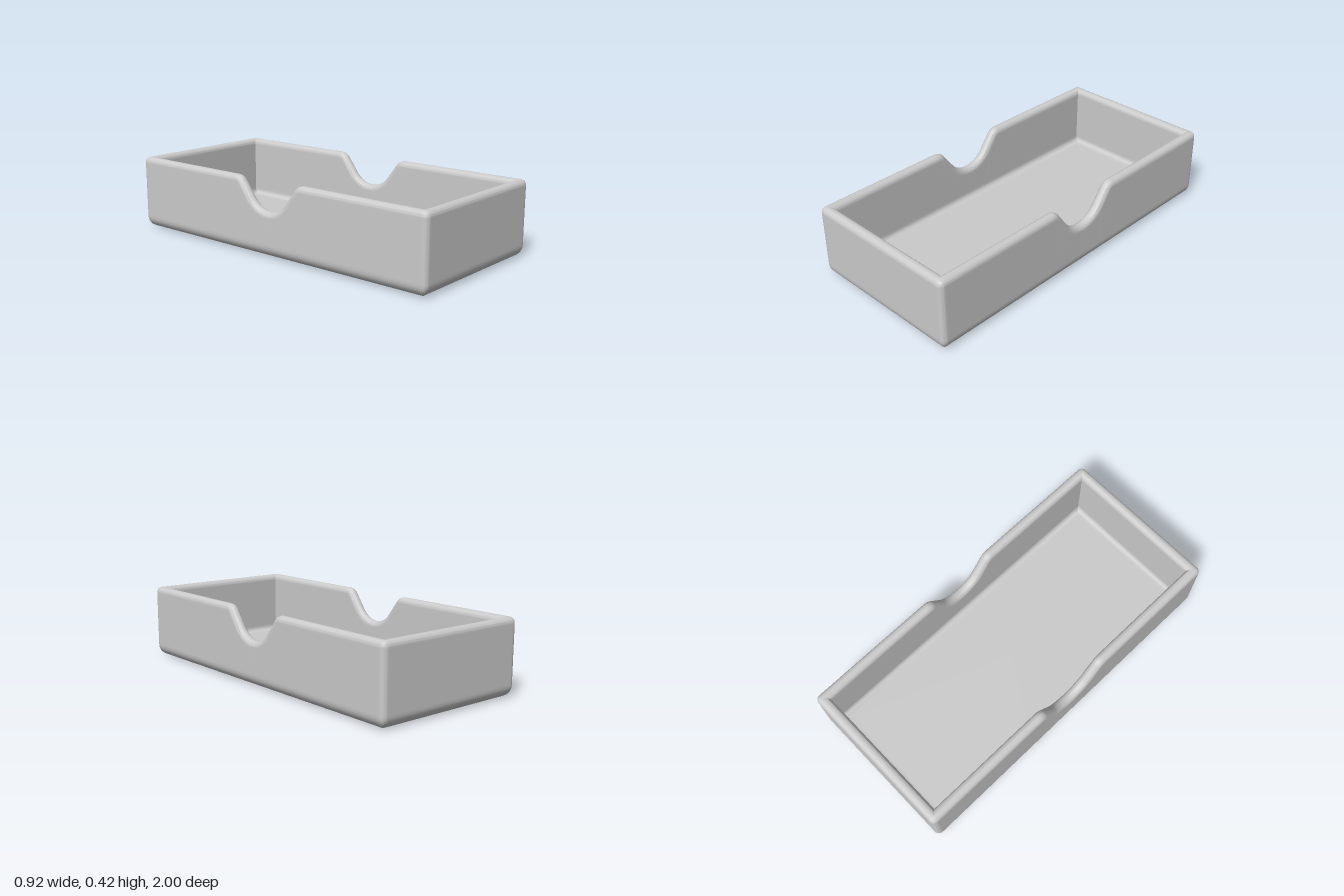
import * as THREE from 'three';
import { toCreasedNormals } from 'three/addons/utils/BufferGeometryUtils.js';

const HX = 0.46, HZ = 1, H = 0.418;     // half width, half length, height
const R = 0.03;                          // rim and upright edge radius (wall is 2R thick)
const BASE_R = 0.065, FLOOR = 0.06, FILLET = 0.03;
const clamp = THREE.MathUtils.clamp;

// Half of the thumb notch: rim points with their normals, from z = 0 outwards
function notchHalf() {
  const pts = [], steep = 0.927, n = 10;
  const add = (cz, cy, r, a) => pts.push({
    z: cz + r * Math.sin(a), y: cy - r * Math.cos(a), nz: -Math.sin(a), ny: Math.cos(a),
  });
  for (let i = 0; i <= n; i++) add(0, H - 0.02, 0.15, steep * i / n);
  for (let i = n; i >= 0; i--) add(0.235, H - 0.065, -0.065, steep * i / n);
  pts.push({ z: 0.245, y: H, nz: 0, ny: 1 });
  return pts;
}

// Stations around the outline, each with an outward direction and a rim point
function outline() {
  const list = [], half = notchHalf();
  const notch = [...half.slice(1).reverse().map(p => ({ ...p, z: -p.z, nz: -p.nz })), ...half];
  const signs = [[1, 1], [-1, 1], [-1, -1], [1, -1]];
  signs.forEach(([sx, sz], k) => {
    const cx = sx * (HX - R), cz = sz * (HZ - R);
    const flat = (x, z, a) => list.push({ x, z, dx: Math.cos(a), dz: Math.sin(a), y: H, nz: 0, ny: 1 });
    for (let i = 0; i <= 8; i++) flat(cx, cz, (k + i / 8) * Math.PI / 2);
    const end = (k + 1) * Math.PI / 2;
    if (k % 2 === 0) {                   // plain short walls
      for (const s of [1, -1]) flat(s * sx * (HX - R - 0.01), cz, end);
    } else {                             // long walls with the notch
      flat(cx, sz * (HZ - R - 0.01), end);
      const run = sz < 0 ? notch : [...notch].reverse();
      for (const p of run) list.push({ ...p, x: cx, dx: sx, dz: 0 });
      flat(cx, -sz * (HZ - R - 0.01), end);
    }
  });
  return list;
}

// Wall section from the underside, over the rim, down to the inner floor:
// d is the inset, y a fixed height, lift a distance from the rim's centre line
function section() {
  const rows = [{ d: BASE_R + 0.01, y: 0 }];
  for (let i = 0; i <= 8; i++) {
    const a = i / 8 * Math.PI / 2;
    rows.push({ d: BASE_R * (1 - Math.sin(a)), y: BASE_R * (1 - Math.cos(a)) });
  }
  rows.push({ d: 0, y: BASE_R + 0.01 }, { d: 0, lift: -0.008 });
  for (let i = 0; i <= 16; i++) {
    const a = i / 16 * Math.PI;
    rows.push({ d: R * (1 - Math.cos(a)), lift: R * Math.sin(a) });
  }
  rows.push({ d: 2 * R, lift: -0.008 }, { d: 2 * R, y: FLOOR + FILLET + 0.01 });
  for (let i = 0; i <= 6; i++) {
    const a = i / 6 * Math.PI / 2;
    rows.push({ d: 2 * R + FILLET * (1 - Math.cos(a)), y: FLOOR + FILLET * (1 - Math.sin(a)) });
  }
  rows.push({ d: 2 * R + FILLET + 0.01, y: FLOOR });
  return rows;
}

function trayGeometry() {
  const stations = outline(), rows = section(), pos = [], index = [];
  const n = stations.length, m = rows.length;
  for (const s of stations) {
    for (const { d, y: fixedY, lift } of rows) {
      let z = s.z - s.nz * R, y = fixedY;
      if (lift !== undefined) {
        z += s.nz * lift;
        y = s.y + s.ny * (lift - R);
      }
      // clamping to the inset rectangle mitres the inner corners
      pos.push(
        clamp(s.x + s.dx * (R - d), d - HX, HX - d), y,
        clamp(z + s.dz * (R - d), d - HZ, HZ - d));
    }
  }
  const under = n * m, floor = under + 1;
  pos.push(0, 0, 0, 0, FLOOR, 0);
  for (let i = 0; i < n; i++) {
    const a = i * m, b = ((i + 1) % n) * m;
    for (let j = 0; j < m - 1; j++) {
      index.push(a + j, a + j + 1, b + j + 1, a + j, b + j + 1, b + j);
    }
    index.push(under, a, b, floor, b + m - 1, a + m - 1);
  }
  const geo = new THREE.BufferGeometry();
  geo.setAttribute('position', new THREE.Float32BufferAttribute(pos, 3));
  geo.setIndex(index);
  return toCreasedNormals(geo, 0.6);
}

export function createModel() {
  const group = new THREE.Group();
  group.name = 'openTray';
  const grey = new THREE.MeshStandardMaterial({ color: 0xcbcbcb });
  grey.name = 'light grey';
  const tray = new THREE.Mesh(trayGeometry(), grey);
  tray.name = 'trayBody';
  group.add(tray);
  return group;
}
